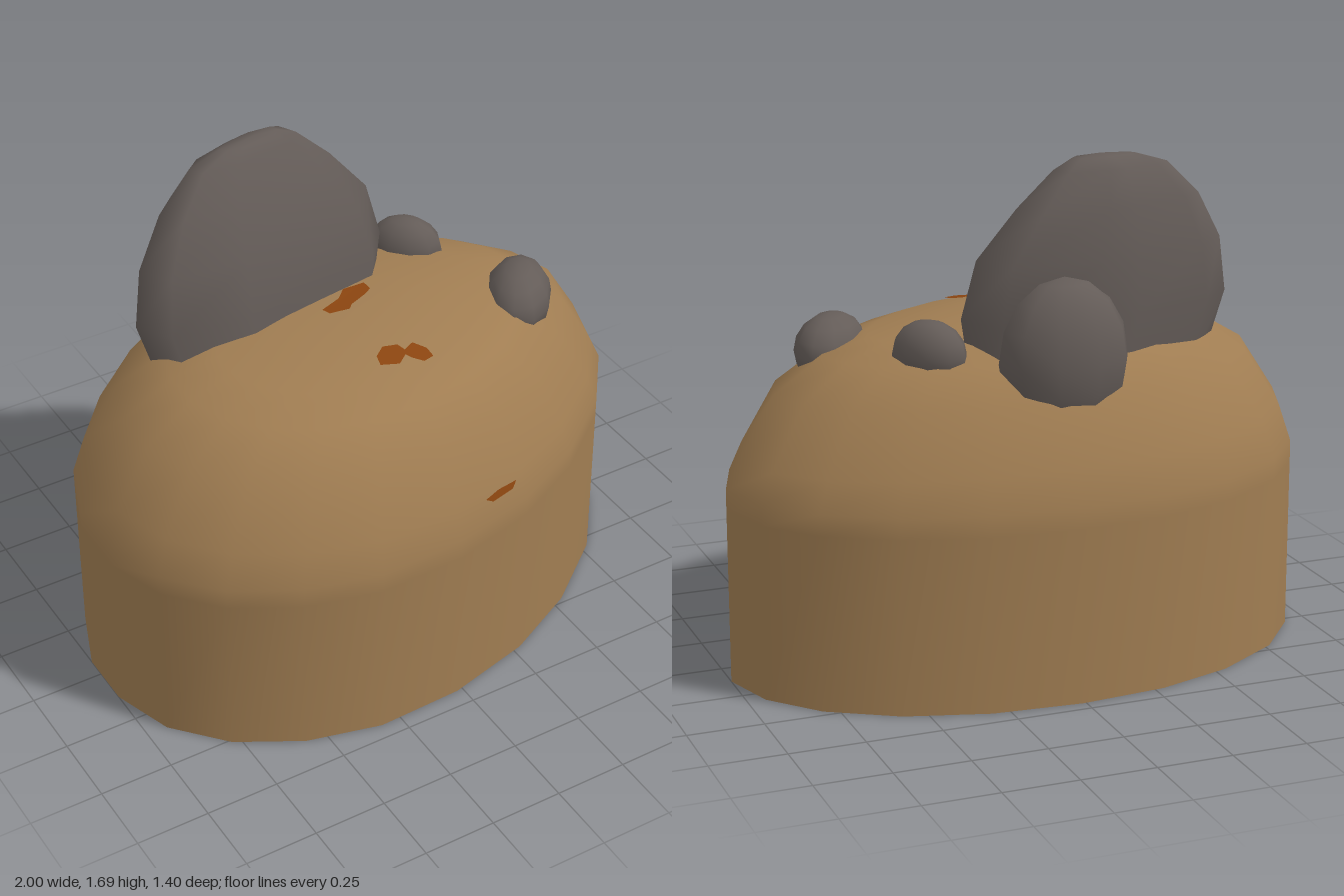
import * as THREE from 'three';

const earth = new THREE.MeshStandardMaterial({ color: 0xa07d52, side: THREE.DoubleSide });
earth.name = 'earth';
const stone = new THREE.MeshStandardMaterial({ color: 0x645c58 });
stone.name = 'stone';
const rust = new THREE.MeshStandardMaterial({ color: 0x8b4510, side: THREE.DoubleSide });
rust.name = 'rust';

function mesh(name, geometry, material) {
  const m = new THREE.Mesh(geometry, material);
  m.name = name;
  return m;
}

// Skin a stack of equal rings (each a list of [x, y, z]) and close it at a peak
function loft(rings, peak) {
  const n = rings[0].length;
  const positions = [...rings.flat(), peak].flat();
  const index = [];
  const top = rings.length * n;
  rings.forEach((_, j) => {
    for (let i = 0; i < n; i++) {
      const a = j * n + i;
      const b = j * n + (i + 1) % n;
      if (j === rings.length - 1) index.push(a, top, b);
      else index.push(a, a + n, b, b, a + n, b + n);
    }
  });
  const g = new THREE.BufferGeometry();
  g.setAttribute('position', new THREE.Float32BufferAttribute(positions, 3));
  g.setIndex(index);
  g.computeVertexNormals();
  return g;
}

// Mound: skewed oval plan, upright wall, rounded and slightly tilted top
function buildMound() {
  const plan = [
    [0.01, -0.705], [0.31, -0.68], [0.58, -0.6], [0.8, -0.47], [0.94, -0.31], [1, -0.12],
    [0.93, 0.09], [0.78, 0.29], [0.54, 0.48], [0.28, 0.61], [-0.02, 0.685], [-0.32, 0.695],
    [-0.57, 0.63], [-0.78, 0.51], [-0.93, 0.34], [-1, 0.13], [-1, -0.07], [-0.92, -0.28],
    [-0.77, -0.46], [-0.54, -0.6], [-0.28, -0.68],
  ];
  const profile = [[1, 0], [1, 0.58], [1, 0.65], [0.955, 0.76], [0.83, 0.955],
    [0.66, 1.06], [0.5, 1.1], [0.25, 1.125]];
  const rings = profile.map(([s, y]) => plan.map(([x, z]) => {
    const tilt = y > 0.7 ? 0.02 * x * s + 0.01 * z * s : 0;
    return [x * s, y - tilt, z * s];
  }));
  return mesh('mound', loft(rings, [0, 1.13, 0]), earth);
}

// Standing slab: one angular plan fitted to the extents of each level
function buildSlab() {
  const plan = [
    [-0.69, -0.22], [-0.57, -0.34], [-0.28, -0.45], [-0.13, -0.49], [0.19, -0.46],
    [0.265, -0.29], [0.16, -0.155], [-0.345, -0.065], [-0.62, -0.1],
  ];
  // y, min x, max x, min z, max z
  const levels = [
    [0.93, -0.62, 0.22, -0.46, -0.05], [1.18, -0.69, 0.265, -0.485, -0.07],
    [1.37, -0.655, 0.22, -0.477, -0.115], [1.53, -0.56, 0.09, -0.45, -0.18],
    [1.645, -0.435, -0.03, -0.4, -0.25], [1.68, -0.32, -0.1, -0.355, -0.285],
  ];
  const rings = levels.map(([y, x0, x1, z0, z1]) => plan.map(([x, z]) => [
    x0 + (x1 - x0) * (x + 0.69) / 0.955, y, z0 + (z1 - z0) * (z + 0.49) / 0.425,
  ]));
  return mesh('standingSlab', loft(rings, [-0.2, 1.688, -0.315]), stone);
}

function boulder(name, position, radii, turn) {
  const m = mesh(name, new THREE.SphereGeometry(1, 10, 8), stone);
  m.position.set(...position);
  m.scale.set(...radii);
  m.rotation.y = turn;
  return m;
}

// Thin stain dropped onto the mound from above, or pressed on from the front
function stain(name, outline, mound, fromFront) {
  const g = new THREE.ShapeGeometry(new THREE.Shape(outline.map(([u, v]) => new THREE.Vector2(u, v))));
  const p = g.attributes.position;
  const dir = fromFront ? new THREE.Vector3(0, 0, -1) : new THREE.Vector3(0, -1, 0);
  for (let i = 0; i < p.count; i++) {
    const u = p.getX(i);
    const v = p.getY(i);
    const start = fromFront ? new THREE.Vector3(u, v, 3) : new THREE.Vector3(u, 3, v);
    const hit = new THREE.Raycaster(start, dir).intersectObject(mound)[0];
    const q = hit.point.addScaledVector(dir, -0.007);
    p.setXYZ(i, q.x, q.y, q.z);
  }
  // Shapes laid out in x and z come out facing down, so turn them over
  if (!fromFront) g.setIndex([...g.index.array].reverse());
  g.computeVertexNormals();
  return mesh(name, g, rust);
}

export function createModel() {
  const model = new THREE.Group();
  model.name = 'rockyMound';
  const mound = buildMound();
  mound.updateMatrixWorld();
  model.add(
    mound,
    buildSlab(),
    boulder('backBoulder', [-0.015, 1.07, -0.465], [0.22, 0.265, 0.15], 0),
    boulder('smallBoulder', [0.375, 1.08, -0.3], [0.13, 0.112, 0.092], -0.85),
    boulder('sideBoulder', [0.58, 1.025, 0.08], [0.17, 0.122, 0.115], 0.9),
    stain('slabStain', [[-0.09, -0.02], [-0.1, -0.05], [-0.02, -0.08], [0.02, -0.12], [0.1, -0.12],
      [0.1, -0.08], [0.07, -0.06], [0, -0.03], [-0.02, -0.01]], mound, false),
    stain('topStain', [[-0.08, 0.28], [-0.07, 0.24], [-0.03, 0.21], [0.02, 0.22], [0.03, 0.25],
      [0.07, 0.23], [0.1, 0.27], [0.1, 0.31], [0.06, 0.32], [0.03, 0.29], [0.02, 0.27],
      [-0.02, 0.3]], mound, false),
    stain('frontStain', [[0.1, 0.735], [0.13, 0.715], [0.22, 0.715], [0.24, 0.735], [0.16, 0.742]],
      mound, true),
  );
  return model;
}
